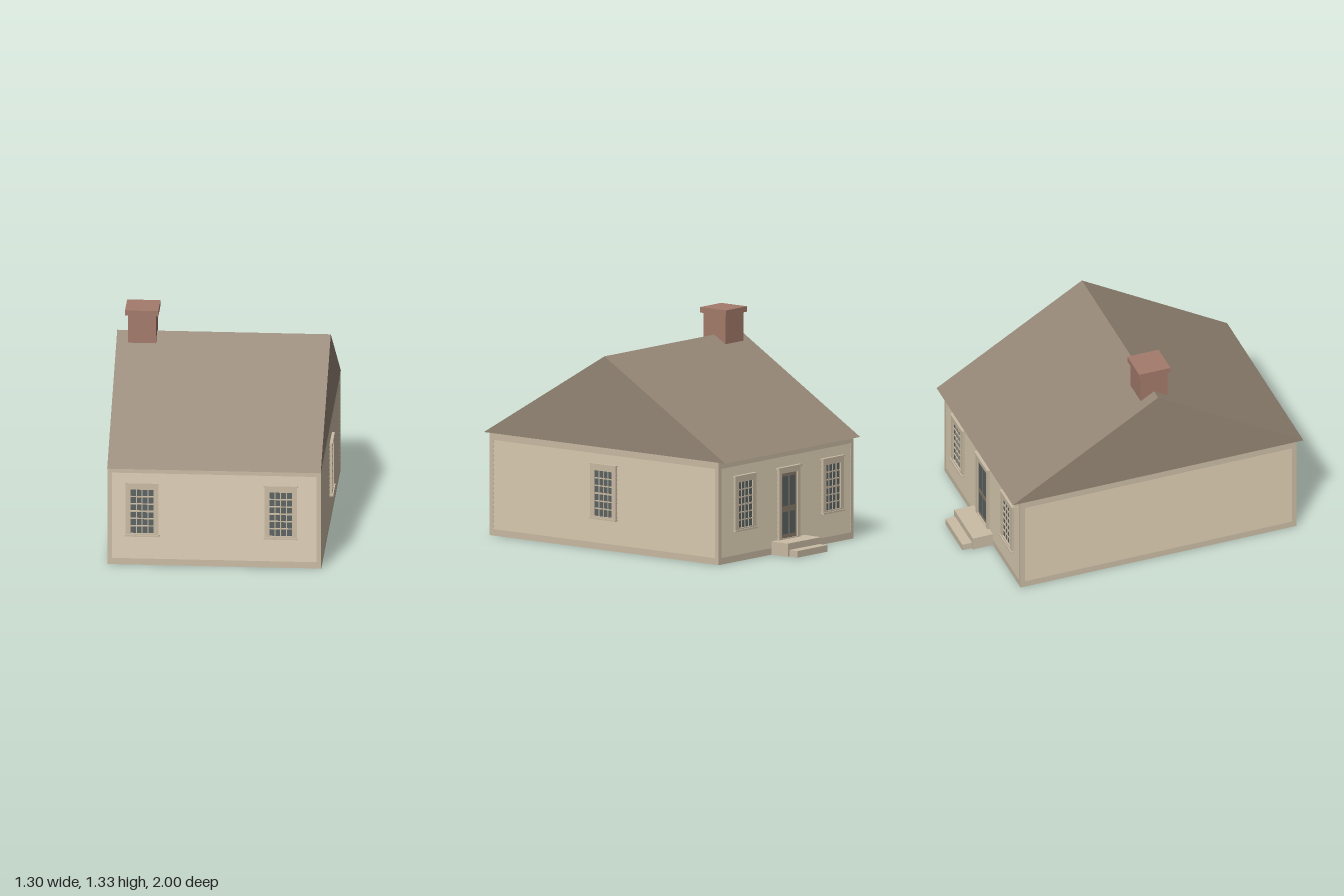
import * as THREE from 'three';

const mat = (name, color, double) => {
  const m = new THREE.MeshStandardMaterial({ color });
  m.name = name;
  if (double) m.side = THREE.DoubleSide;
  return m;
};

export function createModel() {
  const wood = mat('cream wood', 0xcbbda5, true);
  const shingle = mat('brown shingle', 0x968777);
  const brick = mat('red brick', 0xa47b6b, true);
  const glass = mat('dark glass', 0x5c6363);
  const doorPaint = mat('door brown', 0x8b7d6d);

  const model = new THREE.Group();
  model.name = 'house';

  const add = (parent, name, geo, material) => {
    const mesh = new THREE.Mesh(geo, material);
    mesh.name = name;
    parent.add(mesh);
    return mesh;
  };
  // Box given by its limits on each axis
  const box = (parent, name, material, x0, x1, y0, y1, z0, z1, openBottom = false) => {
    const geo = new THREE.BoxGeometry(x1 - x0, y1 - y0, z1 - z0);
    if (openBottom) {
      const index = Array.from(geo.index.array);
      index.splice(18, 6);
      geo.setIndex(index);
      geo.clearGroups();
    }
    geo.translate((x0 + x1) / 2, (y0 + y1) / 2, (z0 + z1) / 2);
    return add(parent, name, geo, material);
  };
  const rectPoints = (x0, x1, y0, y1) => [[x0, y0], [x1, y0], [x1, y1], [x0, y1]]
    .map(([x, y]) => new THREE.Vector2(x, y));
  // Flat rectangular ring, extruded along z
  const ring = (outer, inner, depth) => {
    const shape = new THREE.Shape(rectPoints(...outer));
    shape.holes.push(new THREE.Path(rectPoints(...inner)));
    return new THREE.ExtrudeGeometry(shape, { depth, bevelEnabled: false });
  };

  const X0 = -0.65, X1 = 0.63, Z0 = -0.81, Z1 = 0.955, EAVE = 0.62, SKIN = 0.006;
  const cx = (X0 + X1) / 2, cz = (Z0 + Z1) / 2;

  // Open wall shell, without floor
  const shell = ring([X0 + SKIN, X1 - SKIN, -Z1 + SKIN, -Z0 - SKIN],
    [X0 + 0.012, X1 - 0.012, -Z1 + 0.012, -Z0 - 0.012], EAVE);
  shell.rotateX(-Math.PI / 2);
  add(model, 'wallShell', shell, wood);

  // Clapboards: sawtooth profile drawn along the wall
  const clapboards = (length) => {
    const y0 = 0.04, y1 = 0.58, n = 19, pitch = (y1 - y0) / n;
    const pts = [new THREE.Vector2(0, y0)];
    for (let i = 0; i < n; i++) {
      pts.push(new THREE.Vector2(0.007, y0 + i * pitch), new THREE.Vector2(0.001, y0 + (i + 1) * pitch));
    }
    pts.push(new THREE.Vector2(0, y1));
    const geo = new THREE.ExtrudeGeometry(new THREE.Shape(pts), { depth: length, bevelEnabled: false });
    geo.rotateY(-Math.PI / 2);
    geo.translate(length / 2, 0, -SKIN);
    return geo;
  };

  // One wall face: local x along it, z outward
  const facade = (name, width, x, z, turn) => {
    const g = new THREE.Group();
    g.name = name;
    g.position.set(x, 0, z);
    g.rotation.y = turn;
    const h = width / 2;
    const trim = ring([-h, h, 0, EAVE], [-h + 0.027, h - 0.027, 0.04, 0.58], SKIN);
    trim.translate(0, 0, -SKIN);
    add(g, 'cornerAndEdgeBoards', trim, wood);
    add(g, 'clapboards', clapboards(width - 0.054), wood);
    model.add(g);
    return g;
  };

  // Sash window, four panes by six
  const sashWindow = (parent, x) => {
    const g = new THREE.Group();
    g.name = 'window';
    g.position.x = x;
    const w = 0.068, y0 = 0.203, y1 = 0.48;
    const casing = ring([-0.098, 0.098, 0.19, 0.515], [-w, w, y0, y1], 0.02);
    casing.translate(0, 0, -SKIN);
    add(g, 'casing', casing, wood);
    box(g, 'glass', glass, -w, w, y0, y1, -0.004, 0.004);
    for (let i = 1; i < 4; i++) {
      const bx = -w + (2 * w * i) / 4;
      box(g, 'verticalBar', wood, bx - 0.003, bx + 0.003, y0, y1, 0.002, 0.008);
    }
    for (let i = 1; i < 6; i++) {
      const by = y0 + ((y1 - y0) * i) / 6, t = i === 3 ? 0.005 : 0.0035;
      box(g, 'crossBar', wood, -w, w, by - t, by + t, 0.002, 0.009);
    }
    box(g, 'sill', wood, -0.103, 0.103, 0.184, 0.194, -SKIN, 0.022);
    box(g, 'headLedge', wood, -0.102, 0.102, 0.514, 0.521, -SKIN, 0.018);
    parent.add(g);
  };

  const W = X1 - X0, D = Z1 - Z0;
  const front = facade('frontWall', W, cx, Z1, 0);
  const back = facade('backWall', W, cx, Z0, Math.PI);
  const left = facade('leftWall', D, X1, cz, Math.PI / 2);
  facade('rightWall', D, X0, cz, -Math.PI / 2);
  for (const x of [-0.443, 0.388]) {
    sashWindow(front, x - cx);
    sashWindow(back, cx - x);
  }
  sashWindow(left, 0);

  // Back door with four glazed panels
  const door = new THREE.Group();
  door.name = 'door';
  door.position.x = cx + 0.028;
  const doorCasing = ring([-0.1, 0.1, 0.075, 0.51], [-0.076, 0.076, 0.085, 0.48], 0.02);
  doorCasing.translate(0, 0, -SKIN);
  add(door, 'doorCasing', doorCasing, wood);
  box(door, 'doorLeaf', doorPaint, -0.076, 0.076, 0.085, 0.48, -0.004, 0.004);
  for (const s of [-1, 1]) {
    for (const [y0, y1] of [[0.11, 0.245], [0.28, 0.46]]) {
      box(door, 'doorPane', glass, s * 0.034 - 0.025, s * 0.034 + 0.025, y0, y1, 0.001, 0.006);
    }
  }
  box(door, 'doorHead', wood, -0.11, 0.11, 0.505, 0.518, -SKIN, 0.02);
  back.add(door);

  // Back steps, open underneath
  box(model, 'upperStep', wood, -0.185, 0.13, 0, 0.08, -0.938, -0.81, true);
  box(model, 'lowerStep', wood, -0.17, 0.115, 0, 0.04, -1, -0.938, true);

  // Gable roof, a closed prism with overhanging eaves
  const gable = new THREE.Shape([[-1, EAVE], [0.86, EAVE], [-0.07, 1.175]]
    .map(([x, y]) => new THREE.Vector2(x, y)));
  const roof = new THREE.ExtrudeGeometry(gable, { depth: W, bevelEnabled: false });
  roof.rotateY(Math.PI / 2);
  roof.translate(X0, 0, 0);
  add(model, 'roof', roof, shingle);

  // Chimney stack reaches through the ceiling and is open below
  box(model, 'chimneyStack', brick, -0.581, -0.411, 0.53, 1.3, -0.015, 0.155, true);
  box(model, 'chimneyCap', brick, -0.597, -0.397, 1.3, 1.333, -0.031, 0.169);

  return model;
}
